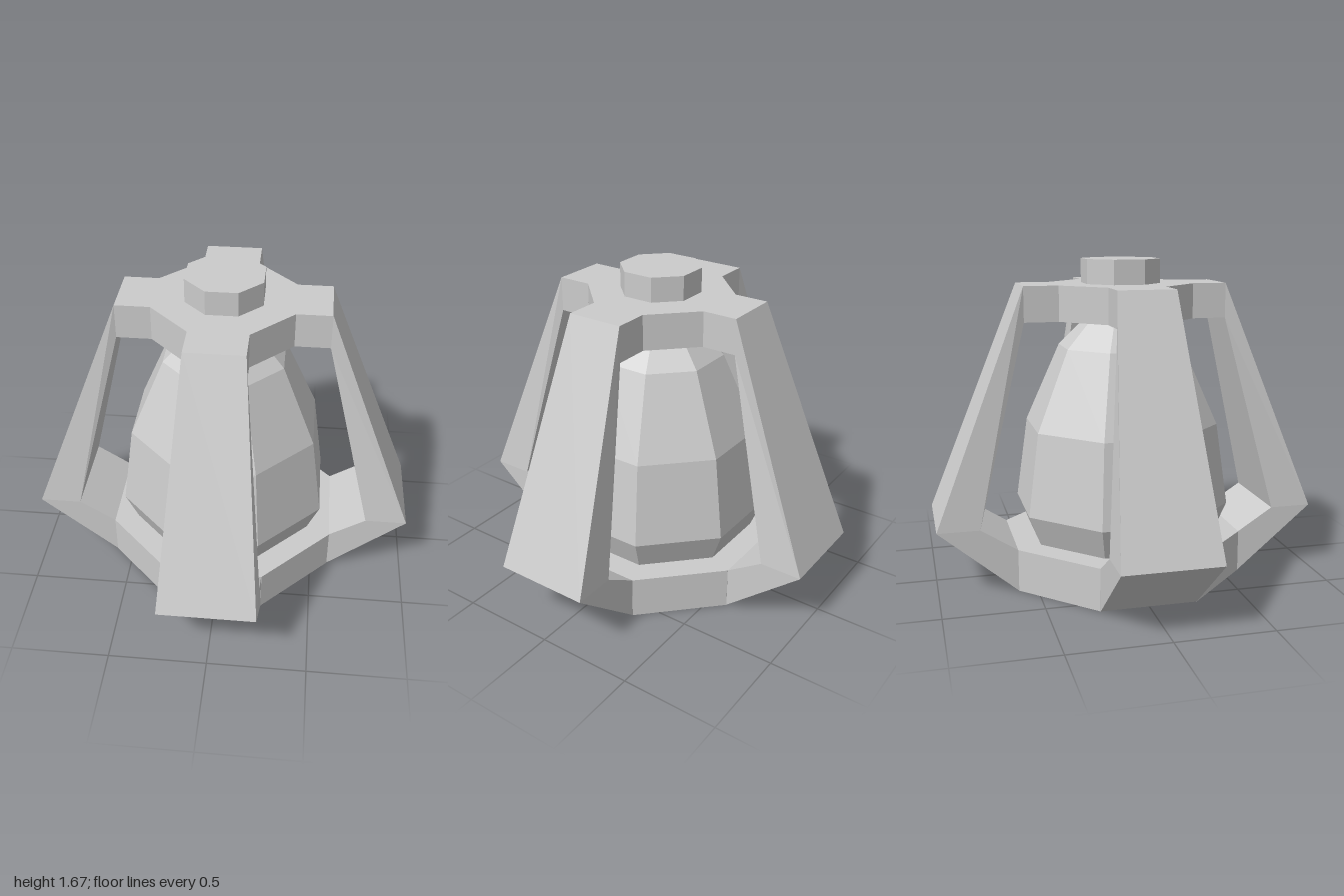
import * as THREE from 'three';

const material = new THREE.MeshStandardMaterial({ color: 0xcccccc, flatShading: true });
const toCorner = 1 / Math.cos(Math.PI / 8); // flat-to-corner ratio of an octagon

function addMesh(parent, name, geometry) {
  const mesh = new THREE.Mesh(geometry, material);
  mesh.name = name;
  parent.add(mesh);
  return mesh;
}

// Upright octagonal block with flats facing the axes
function addOctagon(parent, name, apothem, y0, y1) {
  const r = apothem * toCorner;
  const geometry = new THREE.CylinderGeometry(r, r, y1 - y0, 8);
  geometry.rotateY(Math.PI / 8).translate(0, (y0 + y1) / 2, 0);
  return addMesh(parent, name, geometry);
}

// Bent leg: [half width, outer z, outer y, inner z, inner y] per section
function legGeometry() {
  const sections = [
    [0.145, 0.35, 1.545, 0.35, 1.365],
    [0.145, 0.527, 1.545, 0.527, 1.365],
    [0.245, 1.0, 0.34, 0.783, 0.34],
    [0.245, 0.595, 0, 0.595, 0.22],
  ];
  const positions = [];
  const index = [];
  for (const [w, zo, yo, zi, yi] of sections) {
    positions.push(-w, yo, zo, w, yo, zo, w, yi, zi, -w, yi, zi);
  }
  for (let i = 0; i < sections.length - 1; i++) {
    for (let j = 0; j < 4; j++) {
      const k = (j + 1) % 4;
      const a = i * 4 + j, b = a + 4, c = i * 4 + 4 + k, d = i * 4 + k;
      index.push(a, b, c, a, c, d);
    }
  }
  const geometry = new THREE.BufferGeometry();
  geometry.setAttribute('position', new THREE.Float32BufferAttribute(positions, 3));
  geometry.setIndex(index);
  const flat = geometry.toNonIndexed();
  flat.computeVertexNormals();
  return flat;
}

export function createModel() {
  const model = new THREE.Group();
  model.name = 'lantern';

  addOctagon(model, 'base', 0.595, 0, 0.22);
  addOctagon(model, 'topPlate', 0.35, 1.365, 1.545);
  addOctagon(model, 'topKnob', 0.192, 1.545, 1.67);

  // Faceted bulb inside the cage
  const profile = [[0.47, 0.22], [0.532, 0.38], [0.475, 0.81], [0.305, 1.22], [0.165, 1.37]]
    .map(([r, y]) => new THREE.Vector2(r * toCorner, y));
  addMesh(model, 'bulb', new THREE.LatheGeometry(profile, 8, Math.PI / 8));

  // Four legs forming the cage
  const leg = legGeometry();
  ['frontLeg', 'leftLeg', 'backLeg', 'rightLeg'].forEach((name, i) => {
    addMesh(model, name, leg).rotation.y = i * Math.PI / 2;
  });

  return model;
}
